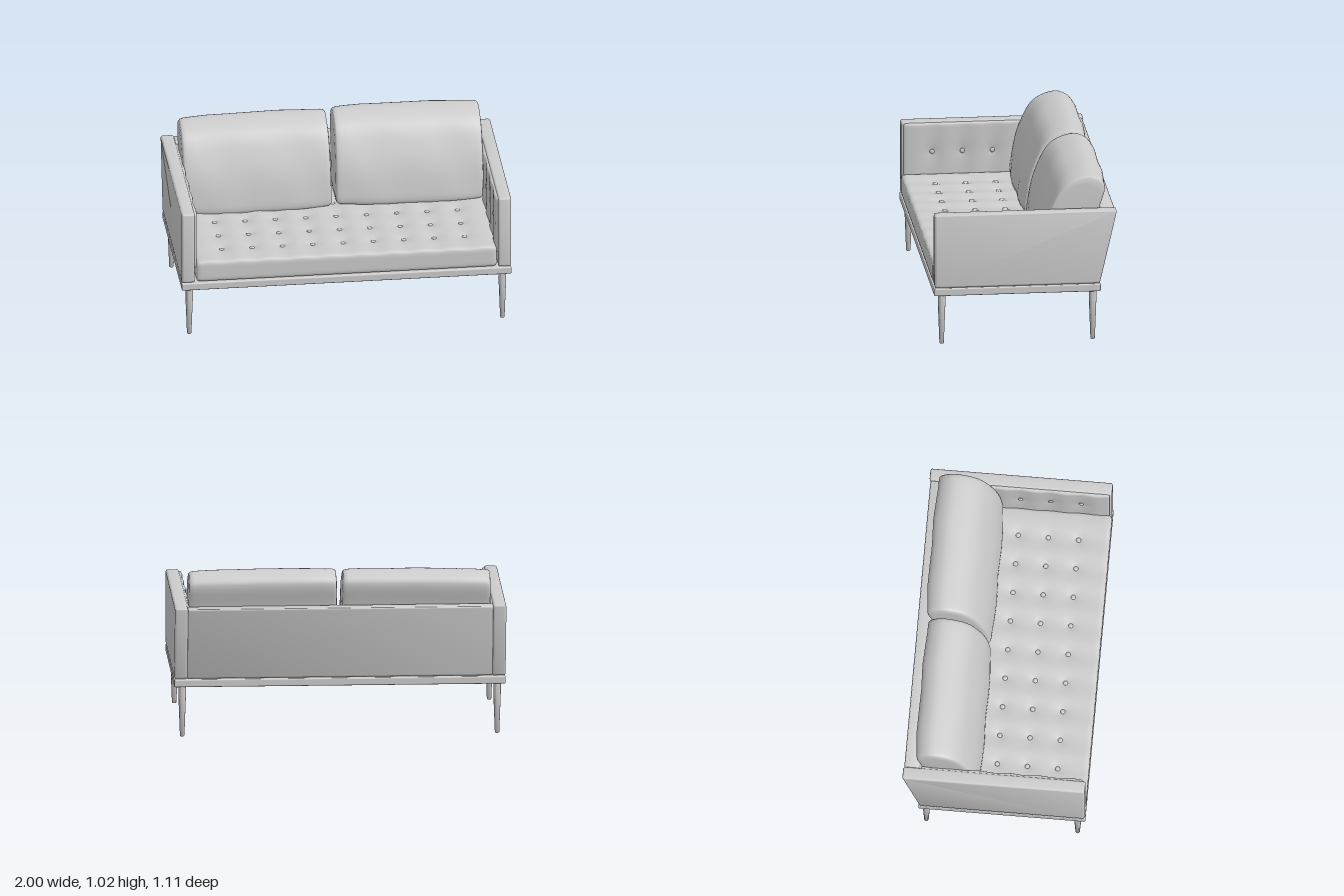
import * as THREE from 'three';
import { mergeVertices, toCreasedNormals } from 'three/addons/utils/BufferGeometryUtils.js';
import { RoundedBoxGeometry } from 'three/addons/geometries/RoundedBoxGeometry.js';

const material = new THREE.MeshStandardMaterial({ color: 0xcccccc });
const BUTTON_Z = [0.365, 0.182, 0, -0.182];
const STEP = 0.184;

function add(parent, name, geometry, x = 0, y = 0, z = 0) {
  const mesh = new THREE.Mesh(geometry, material);
  mesh.name = name;
  mesh.position.set(x, y, z);
  parent.add(mesh);
  return mesh;
}

function smooth(geometry) {
  geometry.deleteAttribute('uv');
  geometry.deleteAttribute('normal');
  const merged = mergeVertices(geometry, 1e-5);
  merged.computeVertexNormals();
  return merged;
}

// Side profile of [z, y] corners, rounded and extruded across x
function slab(corners, width, r, bevel) {
  const pts = corners.map(([z, y]) => new THREE.Vector2(-z, y));
  const shape = new THREE.Shape();
  pts.forEach((p, i) => {
    const prev = pts[(i + pts.length - 1) % pts.length];
    const next = pts[(i + 1) % pts.length];
    const a = p.clone().add(prev.clone().sub(p).setLength(r));
    const b = p.clone().add(next.clone().sub(p).setLength(r));
    if (i === 0) shape.moveTo(a.x, a.y);
    else shape.lineTo(a.x, a.y);
    shape.quadraticCurveTo(p.x, p.y, b.x, b.y);
  });
  shape.closePath();
  const geometry = new THREE.ExtrudeGeometry(shape, {
    depth: width - 2 * bevel, bevelEnabled: true, bevelThickness: bevel,
    bevelSize: bevel, bevelOffset: -bevel, bevelSegments: 4, curveSegments: 5,
  });
  geometry.translate(0, 0, -(width - 2 * bevel) / 2);
  geometry.rotateY(Math.PI / 2);
  return toCreasedNormals(geometry, 0.6);
}

// Finely divided box with rounded edges, then shaped by a rule
function pad(size, segments, r, rule) {
  const geometry = new THREE.BoxGeometry(...size, ...segments);
  const half = new THREE.Vector3(...size).multiplyScalar(0.5).subScalar(r);
  const pos = geometry.attributes.position;
  const p = new THREE.Vector3(), core = new THREE.Vector3();
  for (let i = 0; i < pos.count; i++) {
    p.fromBufferAttribute(pos, i);
    core.copy(p).clamp(half.clone().negate(), half);
    p.sub(core).setLength(r).add(core);
    rule(p);
    pos.setXYZ(i, p.x, p.y, p.z);
  }
  return smooth(geometry);
}

const dimple = (a, b) => Math.exp(-Math.hypot(a, b) / 0.035);

// Back cushion: a soft leaning section lofted across x
function cushionGeometry(width) {
  const section = [
    [-0.1, 0.5], [-0.105, 0.6], [-0.13, 0.72], [-0.175, 0.84], [-0.23, 0.94],
    [-0.29, 0.99], [-0.4, 1.018], [-0.47, 0.985], [-0.492, 0.945], [-0.462, 0.82],
    [-0.425, 0.66], [-0.385, 0.52], [-0.34, 0.485], [-0.24, 0.48], [-0.13, 0.485],
  ].map(([z, y]) => new THREE.Vector3(0, y, z));
  const loop = new THREE.CatmullRomCurve3(section, true).getPoints(60).slice(0, 60);
  const end = [[1, 0], [0.998, 0.4], [0.994, 0.8], [0.985, 0.92], [0.965, 0.955], [0.92, 0.97],
    [0.8, 0.98], [0.6, 0.99], [0.35, 0.997]];
  const stations = [...end.map(([t, s]) => [-t, s]), [0, 1], ...end.slice().reverse()];
  const cy = 0.74, cz = -0.29, n = loop.length;
  const positions = [], index = [];
  stations.forEach(([t, s], i) => {
    loop.forEach((p, j) => {
      const crease = 0.004 * Math.sin(t * 7 + p.y * 9) * s;
      positions.push(t * width / 2, cy + (p.y - cy) * s, cz + (p.z - cz) * s + crease);
      if (i === stations.length - 1) return;
      const a = i * n + j, b = i * n + (j + 1) % n;
      index.push(a, a + n, b, b, a + n, b + n);
    });
  });
  const geometry = new THREE.BufferGeometry();
  geometry.setAttribute('position', new THREE.Float32BufferAttribute(positions, 3));
  geometry.setIndex(index);
  return smooth(geometry);
}

export function createModel() {
  const sofa = new THREE.Group();
  sofa.name = 'sofa';

  // Base frame and tapered legs
  add(sofa, 'baseFrame', new RoundedBoxGeometry(2, 0.047, 1.01, 3, 0.008), 0, 0.3335, 0.05);
  const leg = toCreasedNormals(new THREE.LatheGeometry([
    [0, 0], [0.011, 0], [0.0135, 0.004], [0.0225, 0.24], [0.0225, 0.315],
  ].map(([x, y]) => new THREE.Vector2(x, y)), 24), 0.7);
  for (const x of [-0.95, 0.95]) {
    for (const z of [0.505, -0.41]) add(sofa, 'leg', leg, x, 0, z);
  }

  // Arms and leaning backrest
  const arm = slab([[0.551, 0.359], [0.551, 0.817], [-0.555, 0.817], [-0.45, 0.359]], 0.08, 0.016, 0.014);
  add(sofa, 'leftArm', arm, 0.96);
  add(sofa, 'rightArm', arm, -0.96);
  add(sofa, 'backrest', slab([[-0.36, 0.359], [-0.46, 0.811], [-0.549, 0.811], [-0.444, 0.359]],
    1.845, 0.014, 0.008));

  // Tufted seat
  const seatZ = 0.0675;
  add(sofa, 'seatCushion', pad([1.825, 0.14, 0.975], [130, 10, 70], 0.025, (p) => {
    if (p.y < 0.03) return;
    let sink = 0.003 * (1 + Math.cos(p.x / STEP * 2 * Math.PI));
    for (const z of BUTTON_Z) {
      const dx = p.x - THREE.MathUtils.clamp(Math.round(p.x / STEP), -4, 4) * STEP;
      sink += 0.018 * dimple(dx, p.z + seatZ - z);
    }
    p.y -= sink * (p.y - 0.03) / 0.04;
  }), 0, 0.431, seatZ);

  // Tufted inner arm panels
  const armPad = pad([0.04, 0.36, 0.985], [4, 30, 80], 0.014, (p) => {
    if (p.x > 0) return;
    let sink = 0.003 * (1 + Math.cos((p.z + 0.045) / 0.1825 * 2 * Math.PI));
    for (const z of BUTTON_Z) sink += 0.012 * dimple(p.y, p.z + 0.045 - z);
    p.x += sink * Math.min(1, -p.x / 0.02);
  });
  const button = new THREE.SphereGeometry(0.015, 16, 10);
  button.scale(1, 0.5, 1);
  for (const side of [-1, 1]) {
    const panel = new THREE.Group();
    panel.name = side > 0 ? 'leftArmPanel' : 'rightArmPanel';
    const padMesh = add(panel, 'armPadding', armPad, side * 0.922, 0.63, 0.045);
    if (side < 0) padMesh.rotation.z = Math.PI;
    for (const z of BUTTON_Z) {
      add(panel, 'armButton', button, side * 0.914, 0.63, z).rotation.z = Math.PI / 2;
    }
    sofa.add(panel);
  }

  // Seat buttons
  for (const z of BUTTON_Z) {
    for (let k = -4; k <= 4; k++) add(sofa, 'seatButton', button, k * STEP, 0.483, z);
  }

  // Loose back cushions, each set down slightly differently
  const cushion = cushionGeometry(0.9);
  const left = add(sofa, 'leftBackCushion', cushion, 0.458, 0.004, 0.006);
  left.scale.z = 1.03;
  left.rotation.z = -0.008;
  const right = add(sofa, 'rightBackCushion', cushion, -0.45, -0.004, 0.006);
  right.rotation.z = 0.014;
  return sofa;
}
